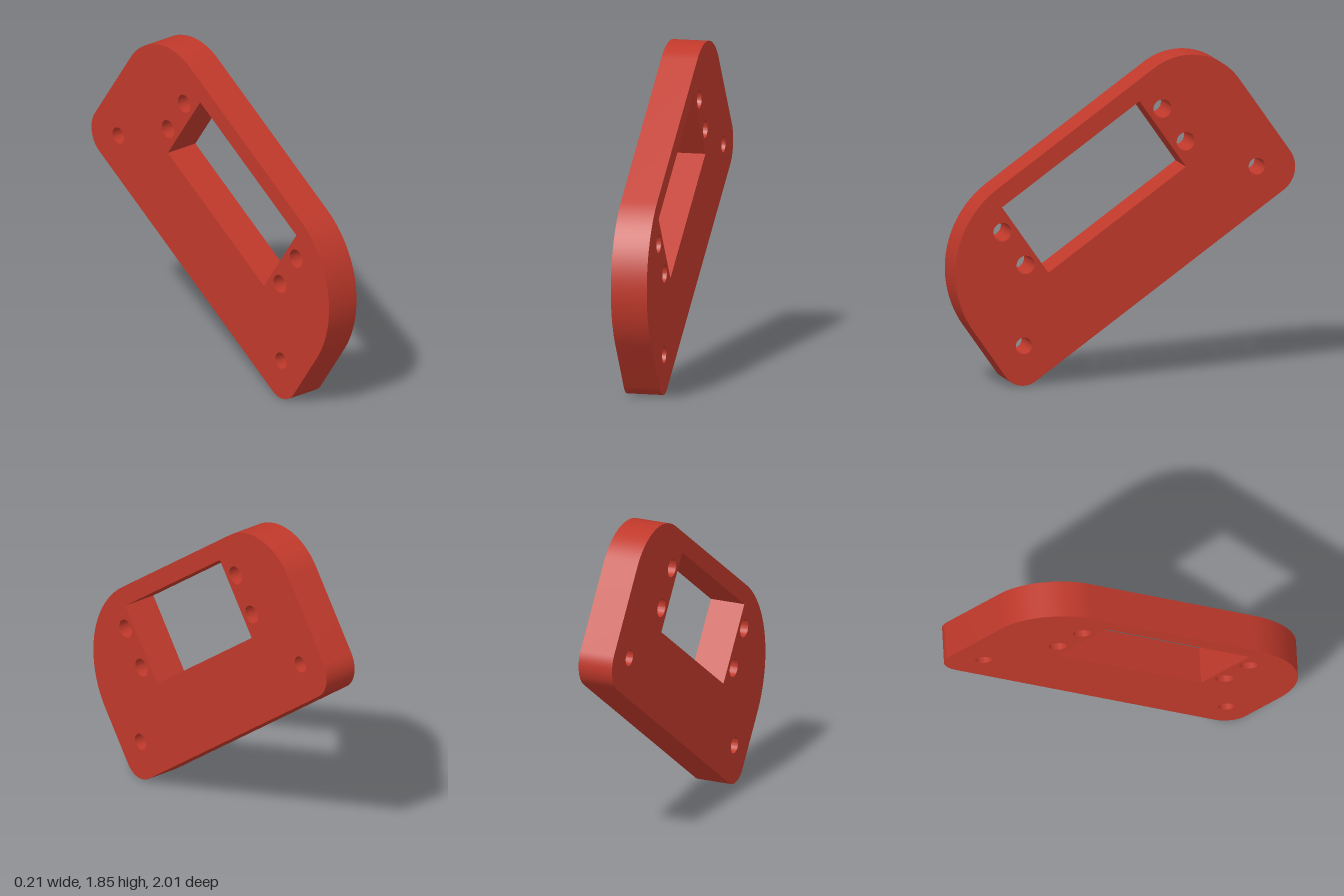
import * as THREE from 'three';
import { toCreasedNormals } from 'three/addons/utils/BufferGeometryUtils.js';

const THICKNESS = 0.21;
const TILT = THREE.MathUtils.degToRad(35);

// Rectangle with a separate radius for each corner
function plateOutline(x0, y0, x1, y1, [bl, br, tr, tl]) {
  const s = new THREE.Shape();
  const q = Math.PI / 2;
  s.absarc(x0 + bl, y0 + bl, bl, 2 * q, 3 * q);
  s.absarc(x1 - br, y0 + br, br, 3 * q, 4 * q);
  s.absarc(x1 - tr, y1 - tr, tr, 0, q);
  s.absarc(x0 + tl, y1 - tl, tl, q, 2 * q);
  s.closePath();
  return s;
}

function roundHole(x, y, r) {
  return new THREE.Path().absarc(x, y, r, 0, Math.PI * 2, true);
}

export function createModel() {
  const group = new THREE.Group();
  group.name = 'mountingPlate';

  // Plate outline, drawn along its own length before tilting
  const shape = plateOutline(-0.547, 0.325, 1.524, 1.37, [0.125, 0.16, 0.36, 0.58]);

  // Rectangular window
  shape.holes.push(new THREE.Path([
    [-0.005, 0.79], [-0.005, 1.267], [0.986, 1.267], [0.986, 0.79],
  ].map(([x, y]) => new THREE.Vector2(x, y))));

  // Screw holes in pairs beside the window
  for (const x of [-0.085, 1.068]) {
    for (const y of [0.91, 1.149]) shape.holes.push(roundHole(x, y, 0.053));
  }

  // Smaller holes near the lower corners
  for (const x of [-0.36, 1.317]) shape.holes.push(roundHole(x, 0.534, 0.048));

  // Extrude, tilt, then turn the flat face towards the side
  const extruded = new THREE.ExtrudeGeometry(shape, {
    depth: THICKNESS, bevelEnabled: false, curveSegments: 24,
  });
  extruded.translate(0, 0, -THICKNESS / 2).rotateZ(TILT).rotateY(Math.PI / 2);

  // Settle on the ground and centre front to back
  extruded.computeBoundingBox();
  const box = extruded.boundingBox;
  extruded.translate(0, -box.min.y, -(box.min.z + box.max.z) / 2);

  const plate = new THREE.Mesh(
    toCreasedNormals(extruded, 0.5),
    new THREE.MeshStandardMaterial({ color: 0xc0392b }),
  );
  plate.name = 'plate';
  group.add(plate);
  return group;
}
